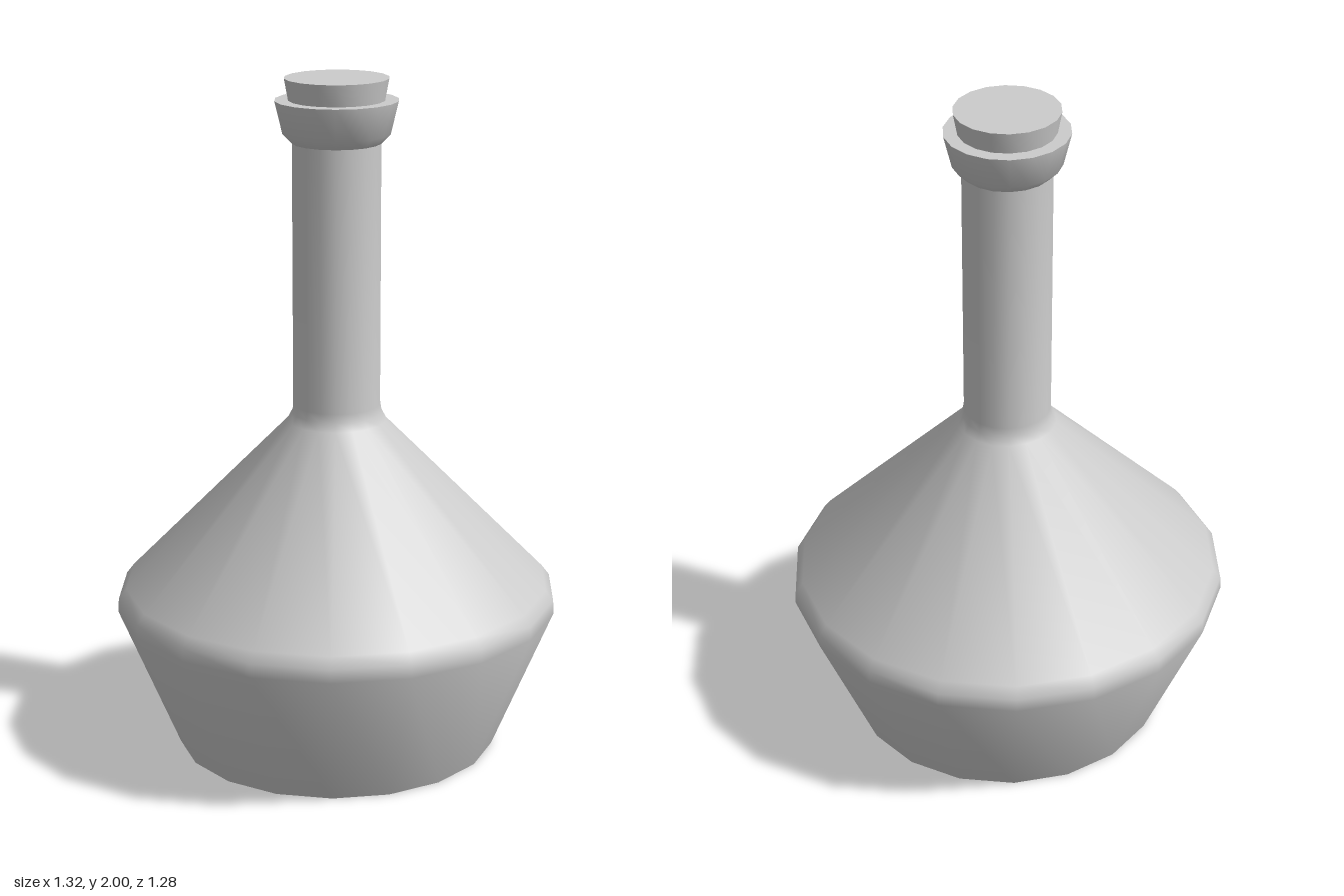
import * as THREE from 'three';
import { toCreasedNormals } from 'three/addons/utils/BufferGeometryUtils.js';

const SIDES = 18;
const DEPTH = 0.985; // the flask is very slightly narrower in z

export function createModel() {
  const group = new THREE.Group();
  group.name = 'flask';
  const material = new THREE.MeshStandardMaterial({ color: 0xcccccc });

  // Turn a [radius, height] profile, smooth around but sharp at hard rims
  function turn(name, profile) {
    const points = profile.map(([r, y]) => new THREE.Vector2(r, y));
    const lathe = new THREE.LatheGeometry(points, SIDES, Math.PI / 2);
    lathe.scale(1, 1, DEPTH);
    const mesh = new THREE.Mesh(toCreasedNormals(lathe, THREE.MathUtils.degToRad(40)), material);
    mesh.name = name;
    group.add(mesh);
  }

  // Flared base, rounded shoulder, cone and long neck
  turn('body', [
    [0, 0], [0.48, 0], [0.66, 0.43], [0.658, 0.47], [0.635, 0.5],
    [0.147, 0.995], [0.134, 1.02], [0.13, 1.045], [0.13, 1.83],
  ]);

  // Lip around the mouth
  turn('collar', [
    [0, 1.815], [0.13, 1.815], [0.157, 1.842], [0.18, 1.937], [0, 1.937],
  ]);

  // Tapered plug
  turn('stopper', [
    [0, 1.92], [0.137, 1.92], [0.152, 2], [0, 2],
  ]);

  return group;
}
